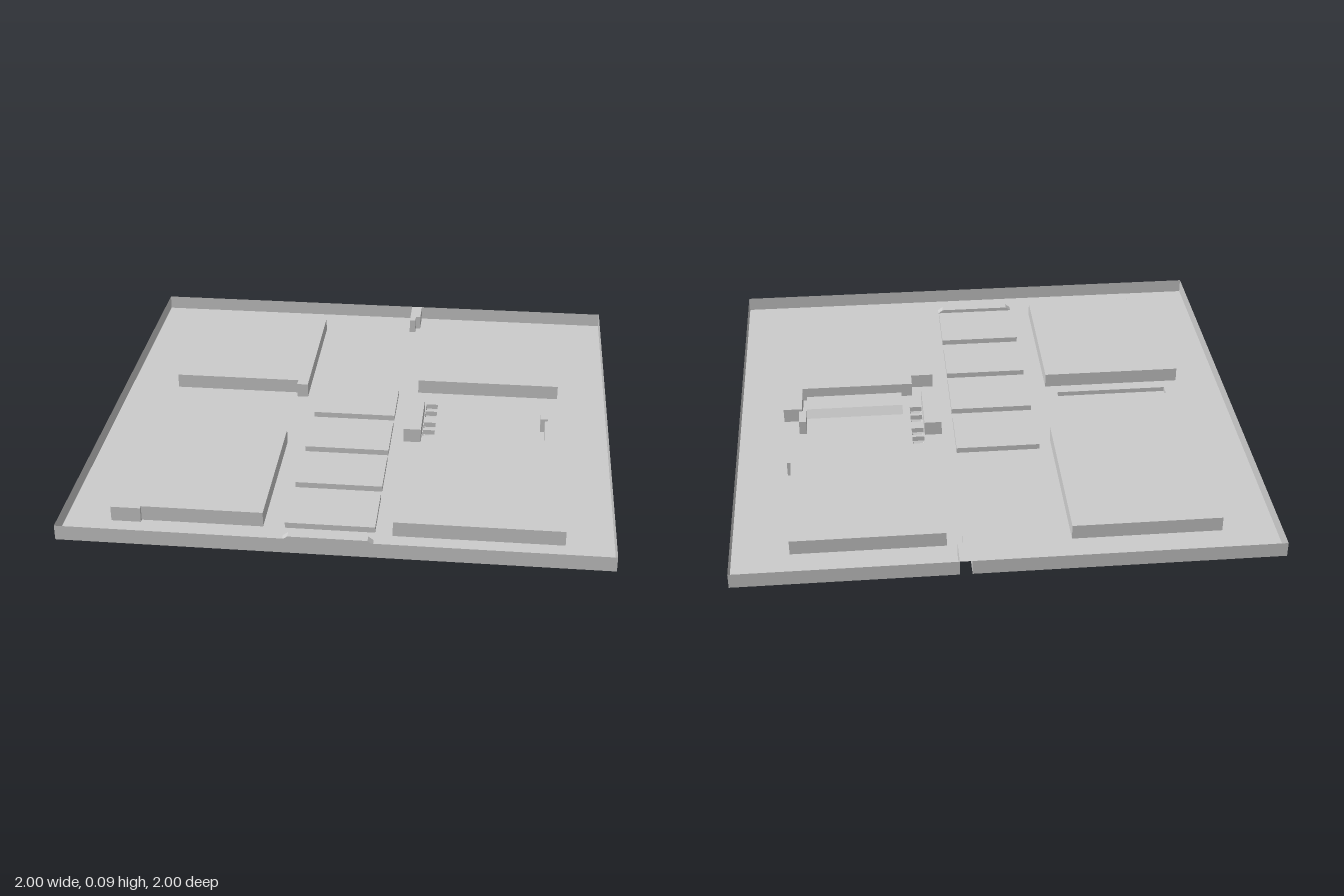
import * as THREE from 'three';
import { mergeGeometries } from 'three/addons/utils/BufferGeometryUtils.js';

const FLOOR = 0.032, TOP = 0.09;
const material = new THREE.MeshStandardMaterial({ color: 0xcccccc, flatShading: true, side: THREE.DoubleSide });

const rect = (x0, x1, z0, z1) => [[x0, z0], [x0, z1], [x1, z1], [x1, z0]];
const toPath = (pts, Kind) => new Kind(pts.map(([x, z]) => new THREE.Vector2(x, -z)));

// Flat horizontal sheet at height y, with optional holes
function sheet(pts, y, holes = []) {
  const shape = toPath(pts, THREE.Shape);
  shape.holes = holes.map(h => toPath(h, THREE.Path));
  return new THREE.ShapeGeometry(shape).rotateX(-Math.PI / 2).translate(0, y, 0).toNonIndexed();
}

// Band of walls joining outline a at height ya to outline b at height yb
function walls(a, ya, b, yb, skip = () => false) {
  const pos = [];
  a.forEach((p, i) => {
    const j = (i + 1) % a.length;
    if (skip(p, a[j])) return;
    const A = [p[0], ya, p[1]], B = [a[j][0], ya, a[j][1]];
    const C = [b[j][0], yb, b[j][1]], D = [b[i][0], yb, b[i][1]];
    pos.push(...A, ...B, ...C, ...A, ...C, ...D);
  });
  const g = new THREE.BufferGeometry();
  g.setAttribute('position', new THREE.Float32BufferAttribute(pos, 3));
  g.computeVertexNormals();
  return g;
}

export function createModel() {
  const model = new THREE.Group();
  const holes = [];

  function add(name, geometries) {
    geometries.forEach(g => g.deleteAttribute('uv'));
    const mesh = new THREE.Mesh(mergeGeometries(geometries), material);
    mesh.name = name;
    model.add(mesh);
  }

  // Hollow form pressed up or down out of the floor; rings are [outline, height]
  function press(name, outline, ...rings) {
    const parts = [];
    let last = [outline, FLOOR];
    for (const ring of rings) {
      parts.push(walls(last[0], last[1], ring[0], ring[1]));
      last = ring;
    }
    parts.push(sheet(last[0], last[1]));
    holes.push(outline);
    add(name, parts);
  }
  const block = (name, outline, y = TOP) => press(name, outline, [outline, y]);

  // Four large blocks with stepped corners
  block('backRightBlock', [[-0.8, -0.83], [-0.8, -0.21], [-0.285, -0.21], [-0.285, -0.175], [-0.24, -0.175], [-0.24, -0.83]]);
  block('backLeftBlock', [[0.22, -0.83], [0.22, -0.26], [0.805, -0.26], [0.805, -0.335], [0.79, -0.335], [0.79, -0.83]]);
  block('frontRightBlock', [[-0.83, 0.22], [-0.83, 0.855], [-0.72, 0.855], [-0.72, 0.84], [-0.27, 0.84], [-0.27, 0.22]]);
  block('frontLeftBlock', [[0.205, 0.265], [0.205, 0.855], [0.825, 0.855], [0.825, 0.045],
    [0.75, 0.045], [0.75, 0.2], [0.295, 0.2], [0.295, 0.265]]);

  // Row of low central pads
  [[-0.24, -0.005], [0.045, 0.28], [0.325, 0.555], [0.605, 0.84]].forEach(([z0, z1], i) =>
    block('centrePad' + (i + 1), rect(-0.19, 0.14, z0, z1), FLOOR + 0.022));

  // Tall bar and post beside the front left block
  block('centreBar', rect(0.19, 0.259, -0.1, 0.165));
  block('sidePost', rect(0.733, 0.762, -0.05, 0.03));

  // Step with a sloping back, and a thin bar with sloping ends
  press('slopedStep', rect(0.34, 0.733, 0.06, 0.18), [rect(0.34, 0.733, 0.085, 0.18), FLOOR + 0.03]);
  press('frontBar', rect(-0.19, 0.14, 0.89, 0.92), [rect(-0.17, 0.12, 0.89, 0.92), FLOOR + 0.015]);

  // Trough and four tapered cups below the floor
  block('trough', rect(-0.77, -0.315, 0.122, 0.17), 0.013);
  [-0.135, -0.073, 0.022, 0.085].forEach((z, i) => {
    const square = (r) => rect(0.286 - r, 0.286 + r, z - r, z + r);
    press('cup' + (i + 1), square(0.024), [square(0.024), 0.012], [square(0.013), 0]);
  });

  // Alcove entering through the back wall
  const alcove = [[0.14, -1], [0.14, -0.85], [0.165, -0.85], [0.165, -0.89], [0.185, -0.89], [0.185, -1]];
  const onBack = (p, q) => p[1] === -1 && q[1] === -1;
  add('backAlcove', [walls(alcove, FLOOR, alcove, TOP, onBack), sheet(alcove, TOP)]);

  // Floor and outer rim, both broken by the alcove
  const edge = [[-1, -1], [-1, 1], [1, 1], [1, -1], ...[...alcove].reverse()];
  add('floor', [sheet(edge, FLOOR, holes)]);
  const inAlcove = (p, q) => alcove.includes(p) && alcove.includes(q);
  add('rim', [walls(edge, FLOOR, edge, TOP, inAlcove)]);

  return model;
}
